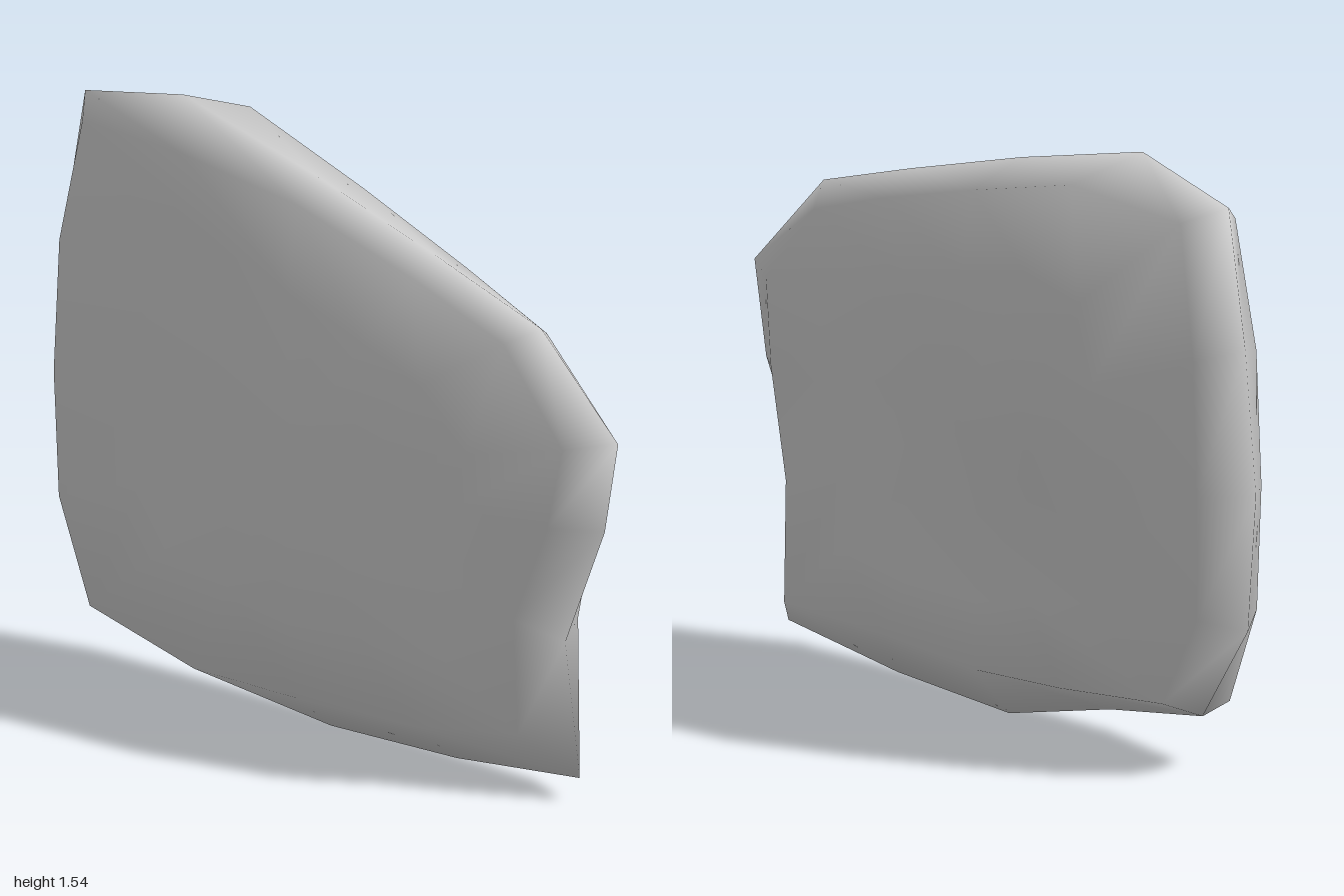
import * as THREE from 'three';

// Outline, counter-clockwise from the lower right corner:
// x, y, rim z, front bevel inset, front bevel z, back bevel inset, back bevel z
const OUTLINE = [
  [0.86, 0.06, 0.01, 0.15, 0.1, 0.12, -0.085],
  [0.85, 0.42, 0.05, 0.14, 0.115, 0.08, -0.06],
  [0.95, 0.72, 0.01, 0.12, 0.1, 0.1, -0.05],
  [1.0, 0.96, 0.012, 0.12, 0.09, 0.1, -0.03],
  [0.75, 1.21, 0.035, 0.08, 0.11, 0.1, -0.055],
  [0.4, 1.31, 0.035, 0.07, 0.11, 0.09, -0.08],
  [-0.05, 1.43, 0.035, 0.08, 0.115, 0.09, -0.118],
  [-0.53, 1.54, 0.04, 0.15, 0.122, 0.08, -0.152],
  [-0.89, 1.47, 0.03, 0.07, 0.1, 0.04, -0.095],
  [-0.97, 1.12, 0.02, 0.07, 0.108, 0.06, -0.1],
  [-1.0, 0.75, 0.03, 0.08, 0.11, 0.08, -0.095],
  [-0.98, 0.4, 0.02, 0.08, 0.11, 0.08, -0.08],
  [-0.81, 0.15, 0.01, 0.03, 0.115, 0.06, -0.08],
  [-0.4, 0.08, 0.04, 0.025, 0.138, 0.1, -0.09],
  [-0.03, 0.0, 0.01, 0.13, 0.13, 0.17, -0.095],
  [0.42, 0.015, 0.01, 0.13, 0.12, 0.18, -0.1],
];
const CENTRE_Y = 0.75;

// Broad bulge of the front face, fullest right of the middle, thinner at the top
function frontDepth(x, y) {
  const side = x < 0 ? 0.12 * x * x : 0.2 * Math.max(0, x - 0.35) ** 2;
  return 0.178 - side - 0.13 * Math.max(0, y - 1.04);
}

// Back face, with a hump towards the upper left
function backDepth(x, y) {
  const u = (x + 0.43) / 0.58, v = (y - 1.06) / 0.5;
  return -(0.083 + 0.099 * Math.exp(-u * u - v * v));
}

function slabGeometry() {
  const n = OUTLINE.length;
  const positions = [0, CENTRE_Y, frontDepth(0, CENTRE_Y)];

  // One ring of a face; blend goes from the bevel (0) to the bulge (1)
  function addRing(front, scale, blend) {
    for (const [x, y, , fIn, fz, bIn, bz] of OUTLINE) {
      const s = scale ?? 1 - (front ? fIn : bIn);
      const px = x * s, py = CENTRE_Y + (y - CENTRE_Y) * s;
      const bulge = front ? frontDepth(px, py) : backDepth(px, py);
      positions.push(px, py, THREE.MathUtils.lerp(front ? fz : bz, bulge, blend));
    }
  }

  // Rings from the front centre, over the rim, to the back centre
  addRing(true, 0.3, 1);
  addRing(true, 0.6, 0.9);
  addRing(true, null, 0);
  for (const [x, y, z] of OUTLINE) positions.push(x, y, z);
  addRing(false, null, 0);
  addRing(false, 0.6, 1);
  addRing(false, 0.3, 1);
  const last = positions.length / 3;
  positions.push(0, CENTRE_Y, backDepth(0, CENTRE_Y));

  const index = [];
  const rings = 7;
  for (let i = 0; i < n; i++) {
    const j = (i + 1) % n;
    index.push(0, 1 + i, 1 + j);
    for (let r = 0; r < rings - 1; r++) {
      const a = 1 + r * n, b = a + n;
      index.push(a + i, b + i, b + j, a + i, b + j, a + j);
    }
    const end = 1 + (rings - 1) * n;
    index.push(end + i, last, end + j);
  }

  const geometry = new THREE.BufferGeometry();
  geometry.setAttribute('position', new THREE.Float32BufferAttribute(positions, 3));
  geometry.setIndex(index);
  geometry.computeVertexNormals();
  return geometry;
}

export function createModel() {
  const group = new THREE.Group();
  group.name = 'rock';
  const slab = new THREE.Mesh(
    slabGeometry(),
    new THREE.MeshStandardMaterial({ color: 0xcccccc }),
  );
  slab.name = 'stoneSlab';
  group.add(slab);
  return group;
}
